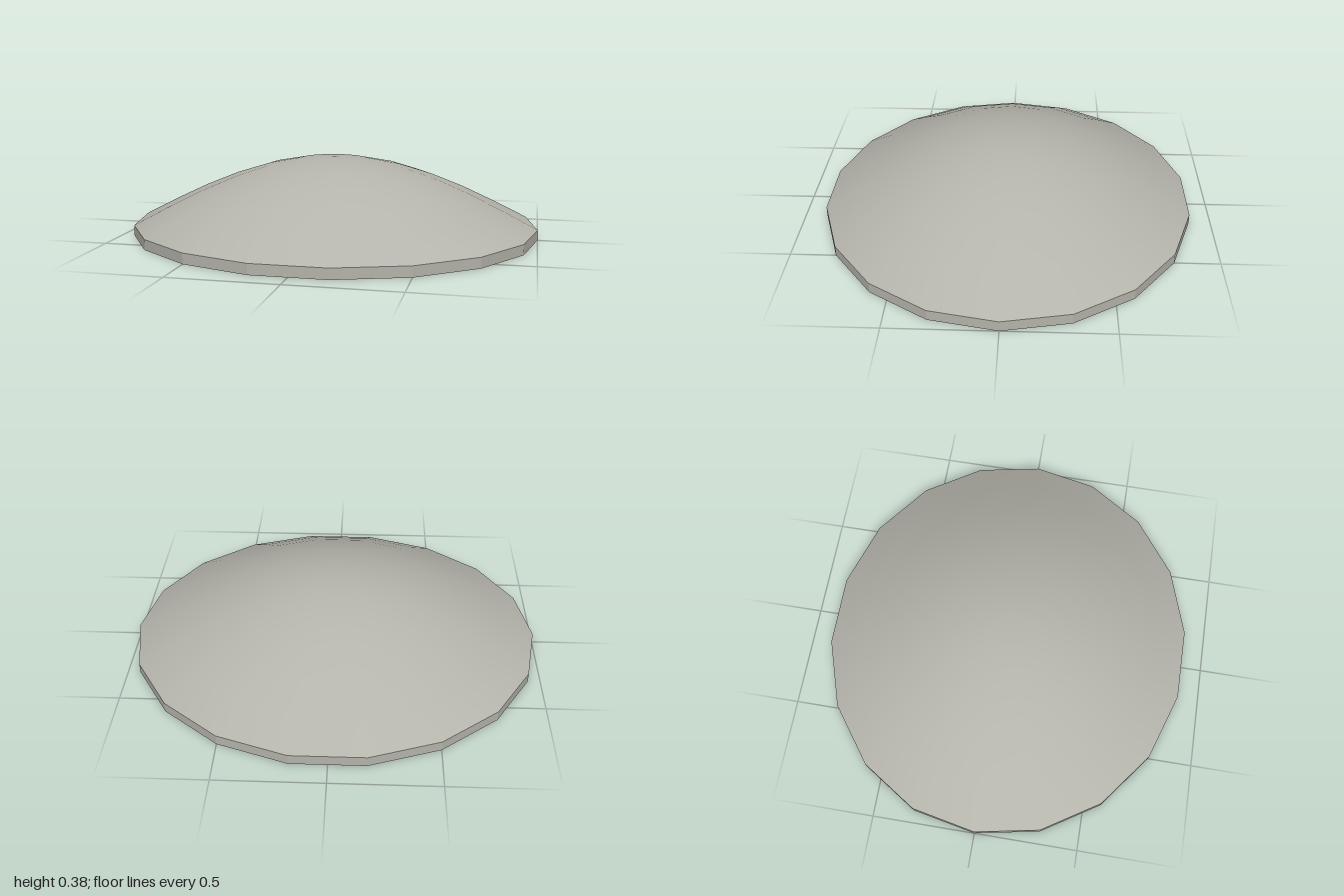
import * as THREE from 'three';
import { toCreasedNormals } from 'three/addons/utils/BufferGeometryUtils.js';

const SIDES = 18;
const DEPTH = 0.907; // the plan is slightly narrower along z
const RIM = 0.05;
const DOME = 0.33;

// Turns a [radius, height] profile into an oval shell with crisp edges
function turned(name, profile, material) {
  const points = profile.map(([r, y]) => new THREE.Vector2(r, y));
  const lathe = new THREE.LatheGeometry(points, SIDES, Math.PI / 2);
  lathe.scale(1, 1, DEPTH);
  const mesh = new THREE.Mesh(toCreasedNormals(lathe, 0.3), material);
  mesh.name = name;
  return mesh;
}

export function createModel() {
  const model = new THREE.Group();
  model.name = 'domedCover';
  const shell = new THREE.MeshStandardMaterial({ color: 0xb4b4ab });
  shell.name = 'warm grey';

  // Domed top, following a cosine curve from rim to crown
  const dome = [];
  for (let i = 6; i >= 0; i--) {
    const r = i / 6;
    dome.push([r, RIM + DOME * Math.cos(r * Math.PI / 2)]);
  }
  model.add(turned('dome', dome, shell));

  // Short upright edge band
  model.add(turned('rim', [[1, 0], [1, RIM]], shell));

  // Hollow underside with stepped ridges and a small central boss
  model.add(turned('underside', [
    [0, 0.285], [0.15, 0.285], [0.165, 0.305],
    [0.288, 0.26], [0.425, 0.197], [0.5, 0.22],
    [0.576, 0.125], [0.715, 0.065], [0.83, 0.085], [1, 0],
  ], shell));

  return model;
}
